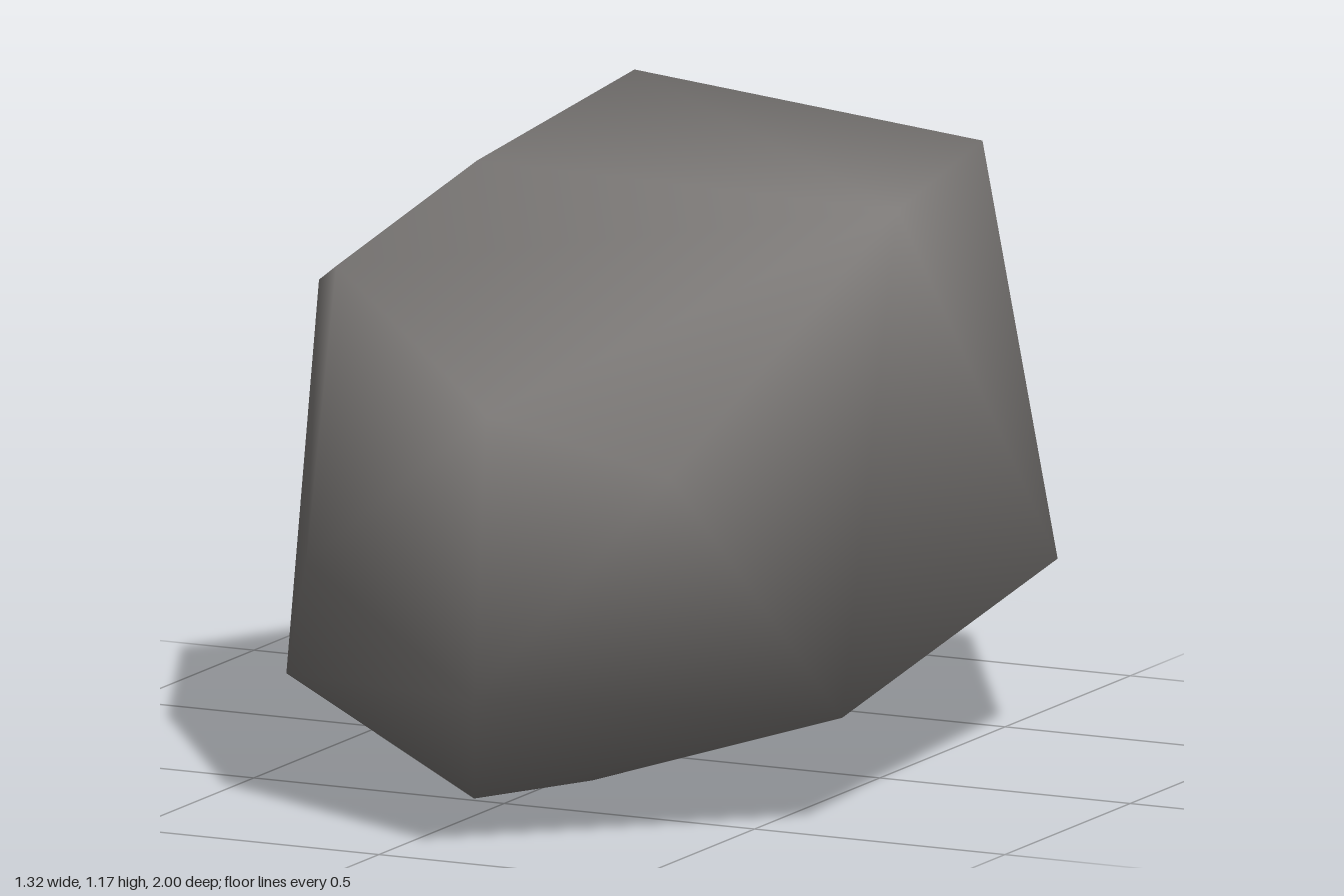
import * as THREE from 'three';
import { mergeVertices } from 'three/addons/utils/BufferGeometryUtils.js';
import { ConvexGeometry } from 'three/addons/geometries/ConvexGeometry.js';

// Turns the diagonal between two neighbouring triangles: edge p-q is swapped for the other one
function flipEdge(geometry, p, q) {
  const position = geometry.attributes.position;
  const index = Array.from(geometry.index.array);
  const corner = new THREE.Vector3();
  const isAt = (i, v) => corner.fromBufferAttribute(position, i).distanceTo(v) < 1e-3;

  const pair = [];
  for (let i = 0; i < index.length; i += 3) {
    for (let k = 0; k < 3; k++) {
      const [a, b, c] = [0, 1, 2].map((n) => index[i + (k + n) % 3]);
      if ((isAt(a, p) && isAt(b, q)) || (isAt(a, q) && isAt(b, p))) pair.push({ i, a, b, c });
    }
  }
  if (pair.length !== 2) return;
  const [first, second] = pair;
  index.splice(first.i, 3, first.a, second.c, first.c);
  index.splice(second.i, 3, second.c, first.b, first.c);
  geometry.setIndex(index);
}

export function createModel() {
  const group = new THREE.Group();
  group.name = 'boulder';

  const stone = new THREE.MeshStandardMaterial({ color: 0x7c7977 });
  stone.name = 'stone grey';

  // Corner points of the rock, from the crown down to the base
  const crown = [
    [-0.155, 1.17, -0.33], [0.645, 1.09, 0.22], [0.54, 1.105, -0.33],
    [-0.20, 1.10, 0.21], [-0.27, 0.98, 0.63], [0.00, 0.88, -0.79], [0.245, 0.86, -0.82],
  ];
  const middle = [
    [0.19, 0.81, 0.95], [-0.63, 0.80, -0.02], [0.49, 0.70, 0.82], [-0.23, 0.48, 0.83],
    [-0.66, 0.42, -0.33], [-0.23, 0.36, -0.87], [0.30, 0.35, -1.00], [0.655, 0.34, -0.40],
    [0.19, 0.30, 1.00],
  ];
  const base = [
    [0.655, 0.21, 0.46], [-0.45, 0.19, 0.47], [0.04, 0.05, 0.70],
    [0.04, 0.05, -0.93], [0.05, 0.00, 0.25], [0.02, 0.01, -0.40],
  ];
  const points = [...crown, ...middle, ...base].map((p) => new THREE.Vector3(...p));

  // Closed hull with shared corners, so the shading runs smoothly over it
  const hull = new ConvexGeometry(points);
  hull.deleteAttribute('normal');
  const geometry = mergeVertices(hull, 1e-4);

  // Shallow hollow low on the back right flank
  flipEdge(geometry, new THREE.Vector3(...base[3]), new THREE.Vector3(...middle[4]));
  geometry.computeVertexNormals();

  const rock = new THREE.Mesh(geometry, stone);
  rock.name = 'rock';
  group.add(rock);
  return group;
}
